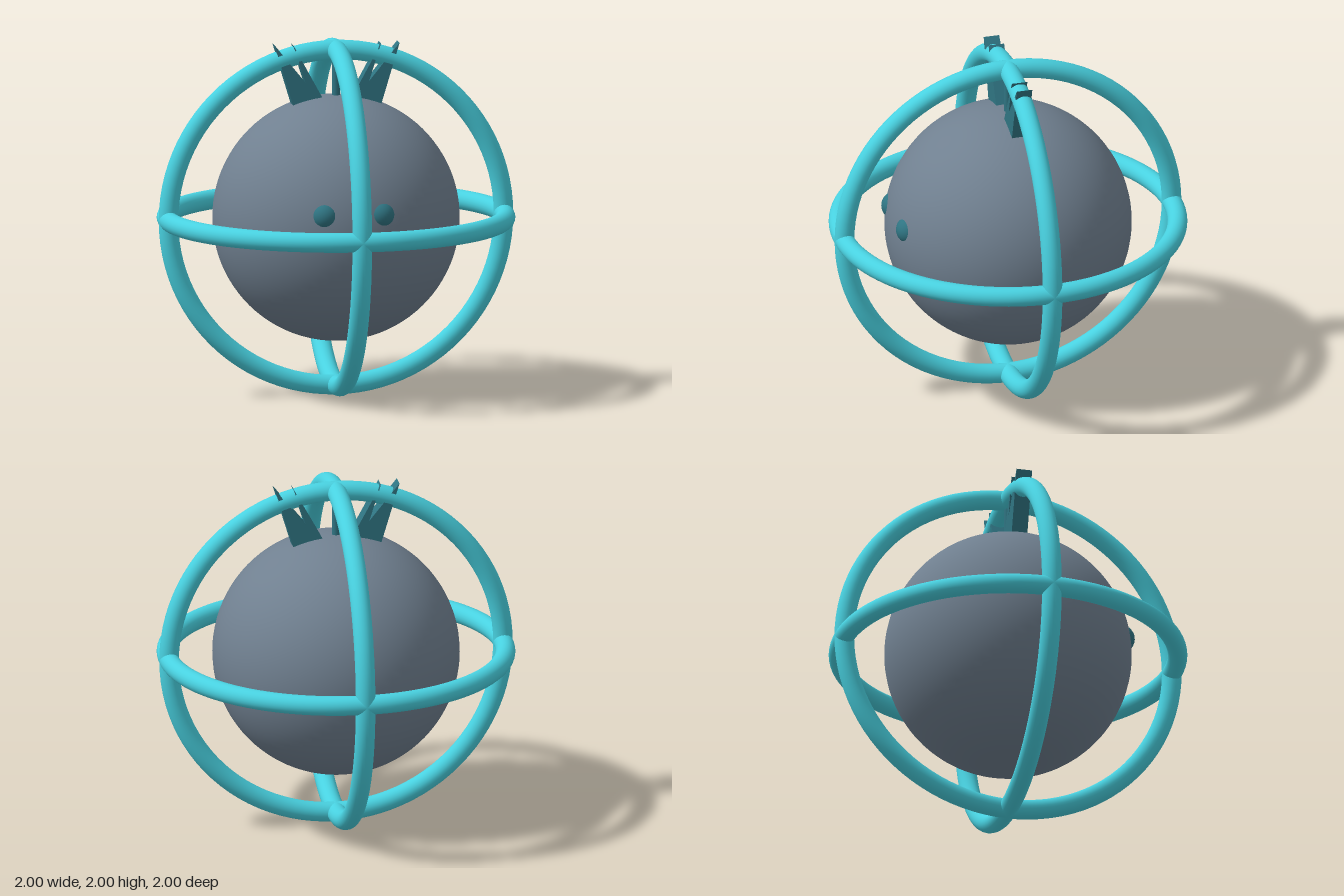
import * as THREE from 'three';

const R = 0.69;      // core radius
const TUBE = 0.055;  // cage ring thickness

export function createModel() {
  const model = new THREE.Group();
  model.name = 'cagedOrb';
  const coreMat = new THREE.MeshStandardMaterial({ color: 0x708090 });
  const ringMat = new THREE.MeshStandardMaterial({ color: 0x48d1e0 });
  const darkMat = new THREE.MeshStandardMaterial({ color: 0x2f7482 });

  const add = (name, geometry, material, x = 0, y = 0, z = 0) => {
    const mesh = new THREE.Mesh(geometry, material);
    mesh.name = name;
    mesh.position.set(x, y, z);
    model.add(mesh);
    return mesh;
  };

  // Round core
  add('core', new THREE.SphereGeometry(R, 64, 48), coreMat, 0, 1, 0);

  // Three crossing cage rings
  const ringGeo = new THREE.TorusGeometry(1 - TUBE, TUBE, 24, 96);
  add('ringFacingFront', ringGeo, ringMat, 0, 1, 0);
  add('ringFacingSide', ringGeo, ringMat, 0, 1, 0).rotation.y = Math.PI / 2;
  add('ringLevel', ringGeo, ringMat, 0, 1, 0).rotation.x = Math.PI / 2;

  // Post joining the core to the top of the cage
  add('topPost', new THREE.CylinderGeometry(0.022, 0.022, 0.32, 16), darkMat, 0, 1.79, 0);

  // Forked ear outline, mirrored for the other side
  const ear = [[0.05, 1.62], [0.24, 1.61], [0.352, 1.982], [0.18, 1.77], [0.247, 1.98]];
  const depth = 0.09;

  for (const [side, s] of [['left', 1], ['right', -1]]) {
    const shape = new THREE.Shape(ear.map(([x, y]) => new THREE.Vector2(s * x, y)));
    const earGeo = new THREE.ExtrudeGeometry(shape, { depth, bevelEnabled: false });
    add(side + 'Ear', earGeo, darkMat, 0, 0, -depth / 2);

    // Eye: small ball mostly sunk into the core
    const p = new THREE.Vector3(s * 0.17, 0.11, 0.66).setLength(0.635);
    add(side + 'Eye', new THREE.SphereGeometry(0.08, 32, 24), darkMat, p.x, 1 + p.y, p.z);
  }
  return model;
}
